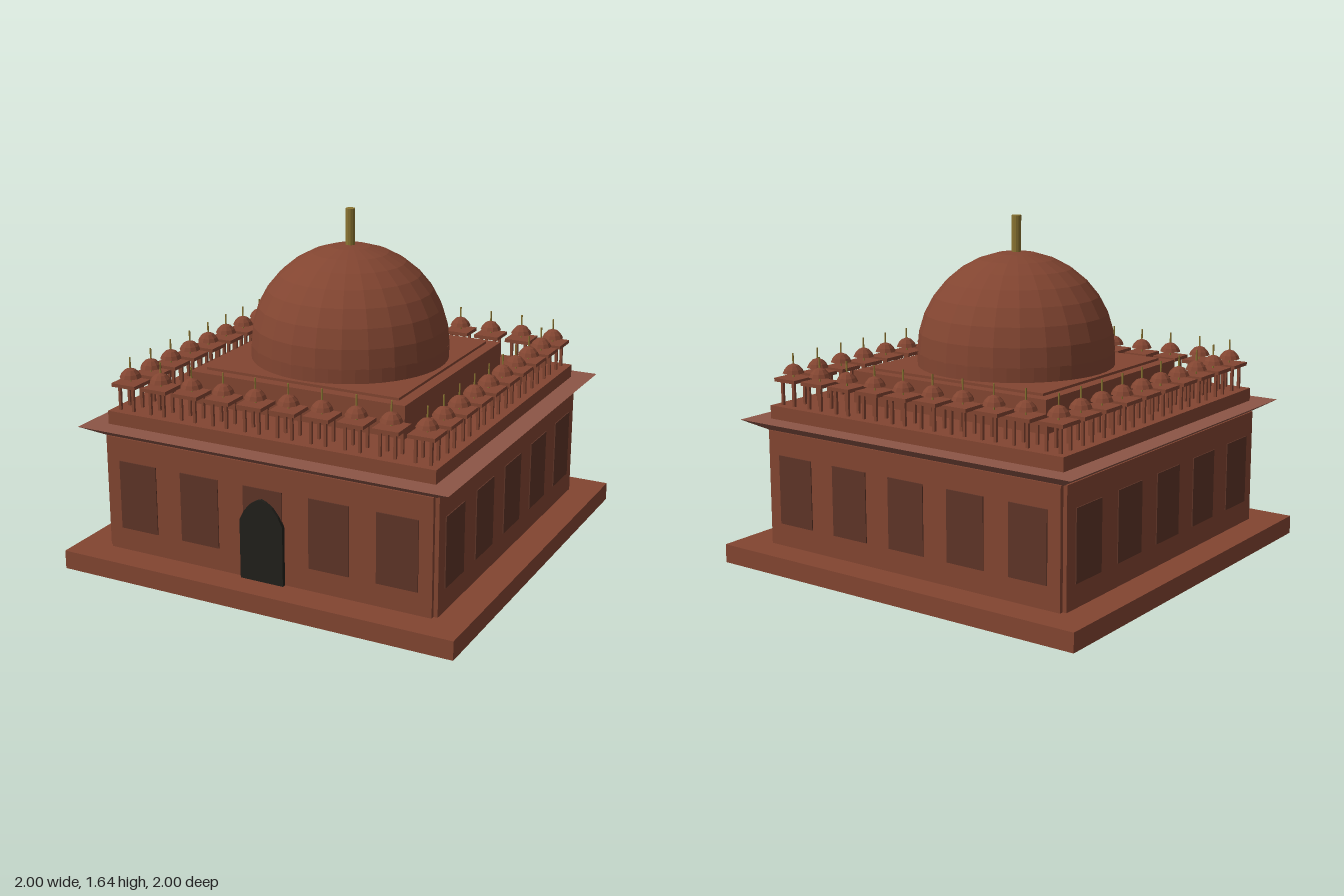
import * as THREE from 'three';

const paint = (color, side = THREE.FrontSide) => new THREE.MeshStandardMaterial({ color, side, flatShading: true });
const stone = paint(0x824531);
const shellStone = paint(0x824531, THREE.DoubleSide);
const eaveStone = paint(0x8c5546);
const recess = paint(0x5e3427);
const dark = paint(0x211f1a);
const gold = paint(0x8a7432);

function add(parent, name, geometry, material, x = 0, y = 0, z = 0) {
  const mesh = new THREE.Mesh(geometry, material);
  mesh.name = name;
  mesh.position.set(x, y, z);
  parent.add(mesh);
  return mesh;
}

// Box given by its bottom and top heights
function block(parent, name, w, d, y0, y1, material, x = 0, z = 0) {
  return add(parent, name, new THREE.BoxGeometry(w, y1 - y0, d), material, x, (y0 + y1) / 2, z);
}

// Hollow plinth: a box without its bottom face (the fourth of six)
function plinthGeometry() {
  const g = new THREE.BoxGeometry(2, 0.09, 2);
  g.setIndex(Array.from(g.index.array).filter((v, i) => i < 18 || i >= 24));
  g.clearGroups();
  return g;
}

// One wall: a slab with five panels, facing +z
function wall() {
  const side = new THREE.Group();
  side.name = 'wall';
  block(side, 'wallSlab', 1.665, 0.04, 0.09, 0.648, stone, 0, 0.832);
  for (let i = -2; i <= 2; i++) {
    block(side, 'wallPanel', 0.2, 0.02, 0.2, 0.535, recess, i / 3, 0.847);
  }
  return side;
}

// Pointed-arch door leaf
function doorGeometry() {
  const half = [[0.11, 0.09], [0.11, 0.375], [0.088, 0.42], [0.057, 0.458], [0.024, 0.48]];
  const outline = [...half, [0, 0.488], ...half.map(([x, y]) => [-x, y]).reverse()];
  const shape = new THREE.Shape(outline.map(([x, y]) => new THREE.Vector2(x, y)));
  return new THREE.ExtrudeGeometry(shape, { depth: 0.03, bevelEnabled: false });
}

// Small roof kiosk: four posts, slab, and a domed cap carried on a thin spike
const capGeometry = new THREE.LatheGeometry(
  [[0, 0], [0.052, 0], [0.043, 0.018], [0.026, 0.036], [0, 0.046]].map(([r, y]) => new THREE.Vector2(r, y)), 10);
const spikeGeometry = new THREE.CylinderGeometry(0.004, 0.004, 0.122, 6);

function kiosk(x, z) {
  const k = new THREE.Group();
  k.name = 'kiosk';
  k.position.set(x, 0.765, z);
  for (const px of [-0.036, 0.036]) {
    for (const pz of [-0.036, 0.036]) block(k, 'kioskPost', 0.013, 0.013, 0, 0.117, stone, px, pz);
  }
  block(k, 'kioskSlab', 0.128, 0.128, 0.115, 0.132, stone);
  add(k, 'kioskDome', capGeometry, stone, 0, 0.153, 0);
  add(k, 'kioskSpike', spikeGeometry, gold, 0, 0.187, 0);
  return k;
}

export function createModel() {
  const model = new THREE.Group();
  model.name = 'domedTomb';

  // Plinth and walled hall with notched corners
  add(model, 'plinth', plinthGeometry(), shellStone, 0, 0.045, 0);
  block(model, 'hallCore', 1.665, 1.665, 0.09, 0.648, stone);
  for (let i = 0; i < 4; i++) {
    const side = wall();
    side.rotation.y = i * Math.PI / 2;
    model.add(side);
  }
  add(model, 'door', doorGeometry(), dark, 0, 0, 0.842);

  // Flaring eave: a four-sided frustum, wide at the top
  const eave = new THREE.CylinderGeometry(0.935 * Math.SQRT2, 0.84 * Math.SQRT2, 0.055, 4);
  eave.rotateY(Math.PI / 4);
  add(model, 'eave', eave, eaveStone, 0, 0.6735, 0);

  // Stepped roof
  block(model, 'parapet', 1.668, 1.668, 0.69, 0.765, stone);
  block(model, 'upperTier', 1.11, 1.11, 0.76, 0.92, stone);
  block(model, 'domeBase', 1, 1, 0.91, 0.932, stone);

  // Ring of kiosks along the roof edge, ten on each side
  const n = 10, reach = 0.755;
  for (let i = 0; i < n; i++) {
    const t = -reach + (2 * reach * i) / (n - 1);
    for (const s of [-1, 1]) {
      model.add(kiosk(t, s * reach));
      if (i > 0 && i < n - 1) model.add(kiosk(s * reach, t));
    }
  }

  // Main dome on a short drum, with its finial
  add(model, 'drum', new THREE.CylinderGeometry(0.476, 0.476, 0.072, 48, 1, true), stone, 0, 0.964, 0);
  const dome = new THREE.SphereGeometry(0.477, 24, 8, 0, Math.PI * 2, 0, Math.PI / 2);
  dome.rotateY(Math.PI / 24);
  add(model, 'dome', dome, stone, 0, 0.997, 0);
  add(model, 'finial', new THREE.CylinderGeometry(0.023, 0.023, 0.19, 12), gold, 0, 1.55, 0);

  return model;
}
